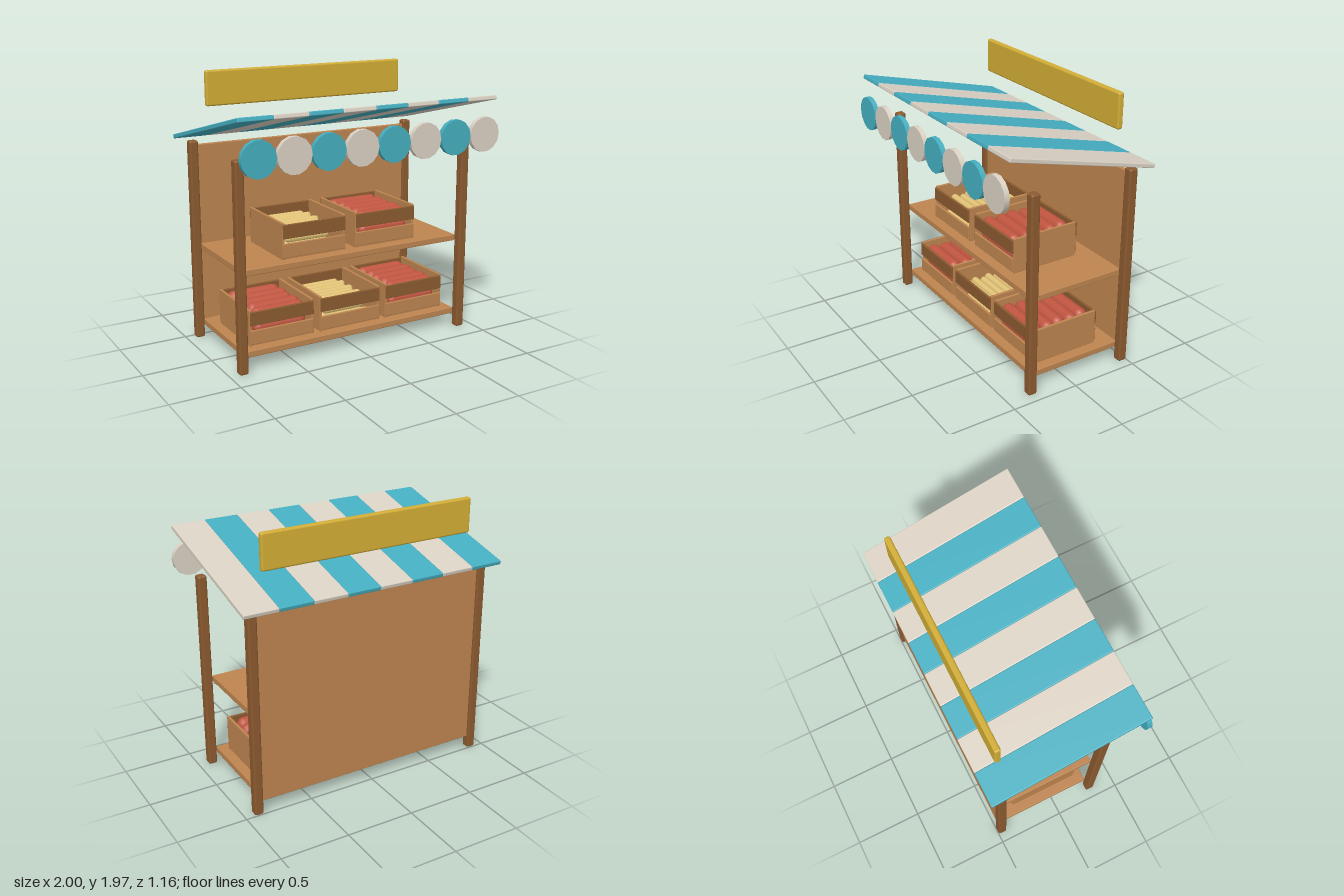
import * as THREE from 'three';
import { RoundedBoxGeometry } from 'three/addons/geometries/RoundedBoxGeometry.js';

const mat = (name, color) => {
  const m = new THREE.MeshStandardMaterial({ color });
  m.name = name;
  return m;
};

export function createModel() {
  const wood = mat('light wood', 0xbd844f);
  const darkWood = mat('dark wood', 0x8b5a2f);
  const teal = mat('teal cloth', 0x45aec0);
  const cream = mat('cream cloth', 0xdad1c3);
  const gold = mat('gold sign', 0xd2ad35);
  const red = mat('red sausage', 0xc05540);
  const yellow = mat('pale yellow', 0xe2c377);

  const stall = new THREE.Group();
  stall.name = 'marketStall';

  const add = (parent, name, geometry, material, x, y, z) => {
    const mesh = new THREE.Mesh(geometry, material);
    mesh.name = name;
    mesh.position.set(x, y, z);
    parent.add(mesh);
    return mesh;
  };
  // Box with softened edges
  const block = (w, h, d, r = 0.006) => new RoundedBoxGeometry(w, h, d, 2, r);

  // Four corner posts
  const postGeo = block(0.066, 1.48, 0.066, 0.014);
  for (const x of [-0.9, 0.9]) {
    add(stall, 'frontPost', postGeo, darkWood, x, 0.74, 0.308);
    add(stall, 'backPost', postGeo, darkWood, x, 0.74, -0.465);
  }

  // Back panel and two shelves
  add(stall, 'backPanel', block(1.75, 1.36, 0.03), wood, 0, 0.77, -0.463);
  const shelfGeo = block(1.74, 0.046, 0.74);
  for (const y of [0.115, 0.697]) add(stall, 'shelf', shelfGeo, wood, 0, y, -0.088);

  // Sloping striped awning and the round pennants in front of it
  const awning = new THREE.Group();
  awning.name = 'awning';
  awning.position.set(0, 1.638, -0.015);
  awning.rotation.x = -0.243;
  stall.add(awning);
  const stripeGeo = block(0.249, 0.03, 1.16);
  const discGeo = new THREE.CylinderGeometry(0.125, 0.125, 0.036, 14);
  discGeo.rotateY(Math.PI / 2).rotateX(Math.PI / 2);
  for (let i = 0; i < 8; i++) {
    const x = -0.875 + i * 0.25;
    const cloth = i % 2 ? cream : teal;
    add(awning, 'awningStripe', stripeGeo, cloth, x, 0, 0);
    add(stall, 'roundPennant', discGeo, cloth, x, 1.527, 0.566);
  }

  // Sign board above the back edge
  add(stall, 'signBoard', block(1.606, 0.252, 0.044, 0.014), gold, 0, 1.844, -0.433);

  // Crates: solid ends, slatted front and back, goods lying along x
  const endGeo = block(0.02, 0.26, 0.515, 0.004);
  const slatGeo = block(0.49, 0.1, 0.018, 0.004);
  const floorGeo = new THREE.BoxGeometry(0.47, 0.02, 0.51);
  const sausageGeo = new THREE.CapsuleGeometry(0.05, 0.31, 5, 12).rotateZ(Math.PI / 2);
  const stickGeo = new THREE.CapsuleGeometry(0.027, 0.29, 4, 10).rotateZ(Math.PI / 2);

  const crate = (x, y, goods) => {
    const g = new THREE.Group();
    g.name = 'crate';
    g.position.set(x, y, -0.045);
    stall.add(g);
    add(g, 'crateFloor', floorGeo, wood, 0, 0.012, 0);
    for (const s of [-1, 1]) {
      add(g, 'crateEnd', endGeo, wood, s * 0.24, 0.13, 0);
      add(g, 'lowerSlat', slatGeo, wood, 0, 0.065, s * 0.262);
      add(g, 'upperSlat', slatGeo, darkWood, 0, 0.2, s * 0.262);
    }
    if (goods === 'sausages') {
      for (let i = 0; i < 5; i++) add(g, 'sausage', sausageGeo, red, 0, 0.115, (i - 2) * 0.1);
      for (let i = 0; i < 5; i++) {
        add(g, 'sausage', sausageGeo, red, (i % 2 - 0.5) * 0.015, 0.2, (i - 2) * 0.097);
      }
    } else {
      for (let layer = 0; layer < 3; layer++) {
        const count = 8 - layer % 2;
        for (let i = 0; i < count; i++) {
          add(g, 'breadStick', stickGeo, yellow, (i % 2 - 0.5) * 0.03,
            0.07 + layer * 0.05, (i - (count - 1) / 2) * 0.058);
        }
      }
    }
  };
  crate(-0.55, 0.14, 'sausages');
  crate(0, 0.14, 'sticks');
  crate(0.55, 0.14, 'sausages');
  crate(-0.29, 0.722, 'sticks');
  crate(0.29, 0.722, 'sausages');

  return stall;
}
